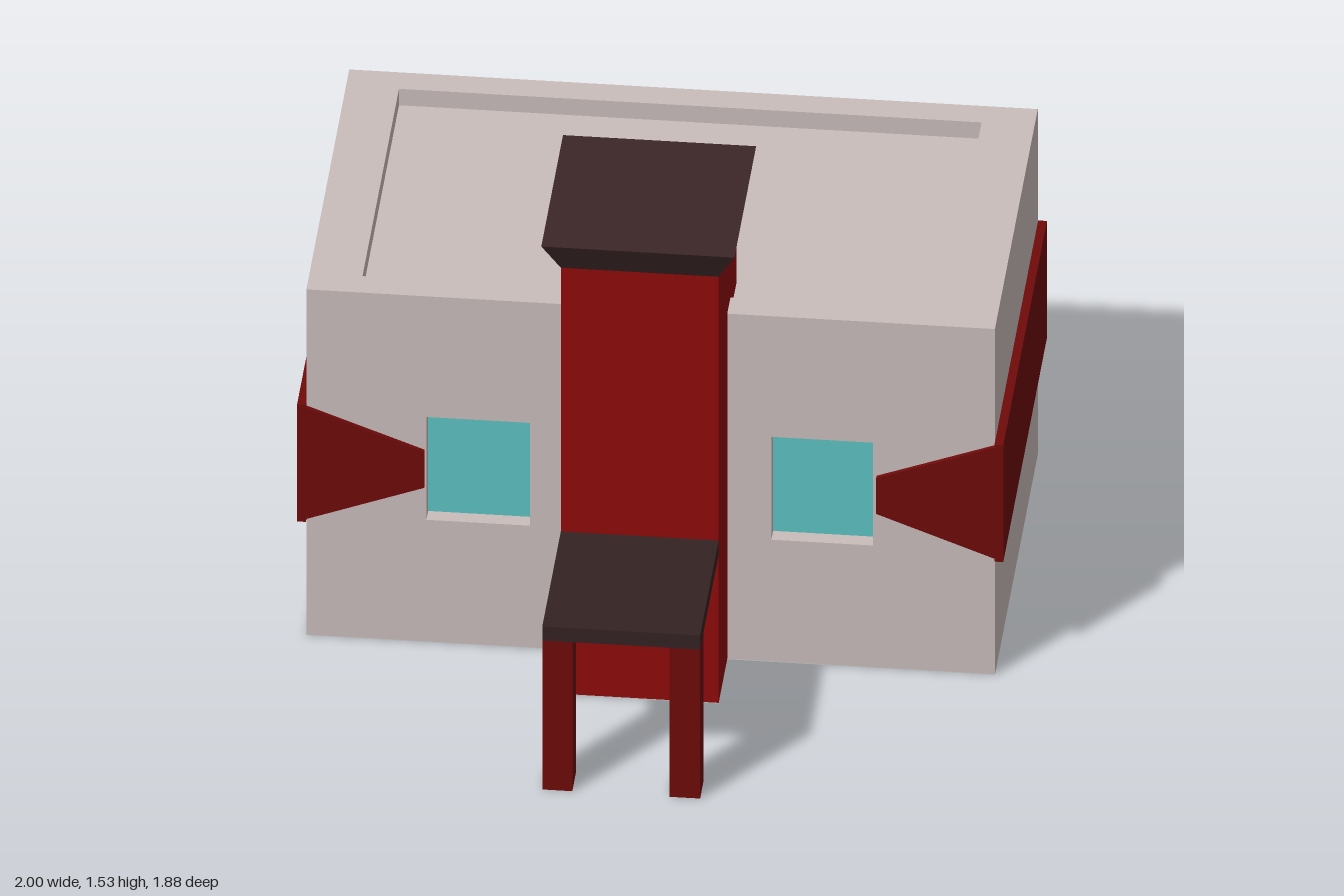
import * as THREE from 'three';

const mat = (color) => new THREE.MeshStandardMaterial({ color, flatShading: true });

export function createModel() {
  const model = new THREE.Group();
  const wall = mat(0xc9bdbb);
  const red = mat(0x8f0b0b);
  const darkRed = mat(0x700b0b);
  const dark = mat(0x3c2727);
  const glass = mat(0x5cc2c3);
  const grey = mat(0xcccccc);

  const add = (name, geometry, material) => {
    const mesh = new THREE.Mesh(geometry, material);
    mesh.name = name;
    model.add(mesh);
    return mesh;
  };
  // Box given by its limits on each axis
  const box = (name, material, [x0, x1], [y0, y1], [z0, z1]) => {
    const g = new THREE.BoxGeometry(x1 - x0, y1 - y0, z1 - z0);
    g.translate((x0 + x1) / 2, (y0 + y1) / 2, (z0 + z1) / 2);
    return add(name, g, material);
  };
  const rect = (Type, x0, x1, y0, y1) => new Type([
    new THREE.Vector2(x0, y0), new THREE.Vector2(x1, y0),
    new THREE.Vector2(x1, y1), new THREE.Vector2(x0, y1),
  ]);
  const extrude = (shape, depth) =>
    new THREE.ExtrudeGeometry(shape, { depth, bevelEnabled: false });

  const X = [-0.975, 0.975];
  const roofY = 1.105, topY = 1.16, backZ = -0.93, frontZ = 0.215, glassZ = 0.165;
  const windows = [[-0.635, -0.342], [0.342, 0.63]];
  const windowY = [0.41, 0.755];

  // Main block up to the sunken roof
  box('mainBlock', wall, X, [0.002, roofY], [backZ, glassZ]);

  // Front wall with window openings
  const front = rect(THREE.Shape, ...X, 0.002, roofY);
  for (const w of windows) front.holes.push(rect(THREE.Path, ...w, ...windowY));
  add('frontWall', extrude(front, frontZ - glassZ).translate(0, 0, glassZ), wall);

  // Recessed panes
  for (const w of windows) box('windowPane', glass, w, windowY, [glassZ - 0.01, glassZ + 0.004]);

  // Parapet frame round the roof
  const frame = rect(THREE.Shape, ...X, -frontZ, -backZ);
  frame.holes.push(rect(THREE.Path, -0.825, 0.825, -0.13, 0.845));
  add('parapet', extrude(frame, topY - roofY).rotateX(-Math.PI / 2).translate(0, roofY, 0), wall);

  // Band round the back and sides, tapering on the front
  const bandY = [0.388, 0.78], bandFront = 0.228;
  box('backBand', darkRed, [-1, 1], bandY, [-0.94, backZ]);
  for (const s of [-1, 1]) {
    const [a, b] = [s * X[1], s].sort((p, q) => p - q);
    box('sideBand', darkRed, [a, b], bandY, [backZ, bandFront]);
    const taper = new THREE.Shape([
      new THREE.Vector2(s * 0.64, 0.525), new THREE.Vector2(s, bandY[0]),
      new THREE.Vector2(s, bandY[1]), new THREE.Vector2(s * 0.64, 0.645),
    ]);
    add('frontBand', extrude(taper, bandFront - frontZ).translate(0, 0, frontZ), darkRed);
  }

  // Entrance tower
  const TX = [-0.23, 0.217], TZ = [-0.035, 0.445], towerTop = 1.432;
  box('tower', red, TX, [0.002, towerTop], TZ);

  // Cap flaring outward to the top
  const capH = 0.1, flare = 0.05;
  const w = TX[1] - TX[0], d = TZ[1] - TZ[0];
  const cap = new THREE.BoxGeometry(w, capH, d);
  const p = cap.attributes.position;
  for (let i = 0; i < p.count; i++) {
    if (p.getY(i) > 0) {
      p.setX(i, p.getX(i) + Math.sign(p.getX(i)) * flare);
      p.setZ(i, p.getZ(i) + Math.sign(p.getZ(i)) * flare);
    }
  }
  cap.translate((TX[0] + TX[1]) / 2, towerTop + capH / 2, (TZ[0] + TZ[1]) / 2);
  cap.computeVertexNormals();
  add('towerCap', cap, dark);

  // Porch canopy on two posts
  box('canopy', mat(0x342222), TX, [0.5, 0.547], [TZ[1], 0.94]);
  for (const x of [[TX[0], -0.145], [0.13, TX[1]]]) {
    box('porchPost', darkRed, x, [0, 0.5], [0.845, 0.94]);
  }

  // Undersides of the block and tower
  box('blockFloor', grey, X, [0, 0.002], [backZ, frontZ]);
  box('towerFloor', grey, TX, [0, 0.002], [frontZ, TZ[1]]);

  return model;
}
